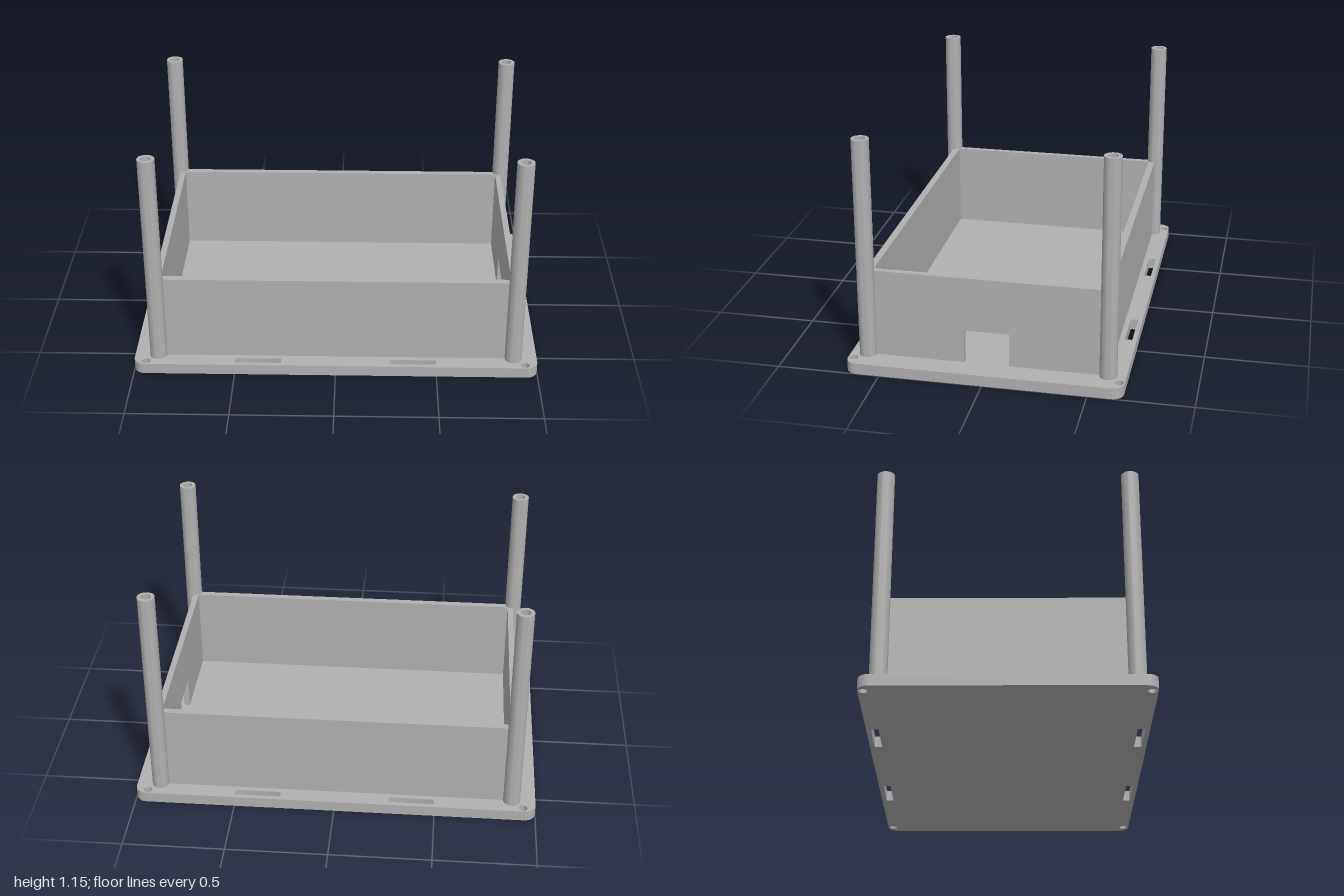
import * as THREE from 'three';
import { toCreasedNormals } from 'three/addons/utils/BufferGeometryUtils.js';

const BASE_TOP = 0.055, WALL_TOP = 0.493, POST_TOP = 1.15;
const POST_X = 0.882, POST_Z = 0.582;      // post centres, also the outer wall faces
const WALL_X = 0.03, WALL_Z = 0.034;       // wall thickness across x and z

// Rounded rectangle centred on (cx, cy)
function roundedRect(target, cx, cy, w, h, r) {
  const x = w / 2 - r, y = h / 2 - r;
  target.absarc(cx + x, cy + y, r, 0, Math.PI / 2);
  target.absarc(cx - x, cy + y, r, Math.PI / 2, Math.PI);
  target.absarc(cx - x, cy - y, r, Math.PI, Math.PI * 1.5);
  target.absarc(cx + x, cy - y, r, Math.PI * 1.5, Math.PI * 2);
  target.closePath();
  return target;
}

export function createModel() {
  const group = new THREE.Group();
  const grey = new THREE.MeshStandardMaterial({ color: 0xb0b0b0 });
  grey.name = 'grey plastic';

  function add(name, geometry, x = 0, y = 0, z = 0) {
    const mesh = new THREE.Mesh(geometry, grey);
    mesh.name = name;
    mesh.position.set(x, y, z);
    group.add(mesh);
  }

  // Base plate with corner screw holes and strap slots
  const plate = roundedRect(new THREE.Shape(), 0, 0, 2, 1.334, 0.055);
  for (const sx of [-1, 1]) {
    for (const sz of [-1, 1]) {
      plate.holes.push(new THREE.Path().absarc(sx * 0.938, sz * 0.64, 0.021, 0, Math.PI * 2, true));
      plate.holes.push(roundedRect(new THREE.Path(), sx * 0.383, sz * 0.626, 0.225, 0.036, 0.005));
    }
  }
  const plateGeometry = new THREE.ExtrudeGeometry(plate, { depth: BASE_TOP, bevelEnabled: false, curveSegments: 12 });
  plateGeometry.rotateX(-Math.PI / 2);
  add('basePlate', toCreasedNormals(plateGeometry, 0.6));

  // Long walls and the plain end wall
  const wallHeight = WALL_TOP - BASE_TOP, wallY = (WALL_TOP + BASE_TOP) / 2;
  const endLength = 2 * (POST_Z - WALL_Z);
  const longWall = new THREE.BoxGeometry(POST_X * 2, wallHeight, WALL_Z);
  add('frontWall', longWall, 0, wallY, POST_Z - WALL_Z / 2);
  add('backWall', longWall, 0, wallY, -POST_Z + WALL_Z / 2);
  add('rightWall', new THREE.BoxGeometry(WALL_X, wallHeight, endLength), -POST_X + WALL_X / 2, wallY, 0);

  // End wall with a cable notch
  const e = endLength / 2, n = 0.109, notchTop = 0.222;
  const notched = new THREE.Shape([
    [-e, BASE_TOP], [-n, BASE_TOP], [-n, notchTop], [n, notchTop],
    [n, BASE_TOP], [e, BASE_TOP], [e, WALL_TOP], [-e, WALL_TOP],
  ].map(([x, y]) => new THREE.Vector2(x, y)));
  const notchedGeometry = new THREE.ExtrudeGeometry(notched, { depth: WALL_X, bevelEnabled: false });
  notchedGeometry.rotateY(-Math.PI / 2);
  add('leftWallWithNotch', notchedGeometry, POST_X);

  // Corner posts with a blind screw hole in the top
  const profile = [
    [0.042, BASE_TOP], [0.042, POST_TOP], [0.024, POST_TOP],
    [0.024, POST_TOP - 0.2], [0, POST_TOP - 0.2],
  ].map(([x, y]) => new THREE.Vector2(x, y));
  const post = toCreasedNormals(new THREE.LatheGeometry(profile, 32), 0.6);
  for (const sx of [-1, 1]) {
    for (const sz of [-1, 1]) {
      add(`${sz > 0 ? 'front' : 'back'}${sx > 0 ? 'Left' : 'Right'}Post`, post, sx * POST_X, 0, sz * POST_Z);
    }
  }
  return group;
}
